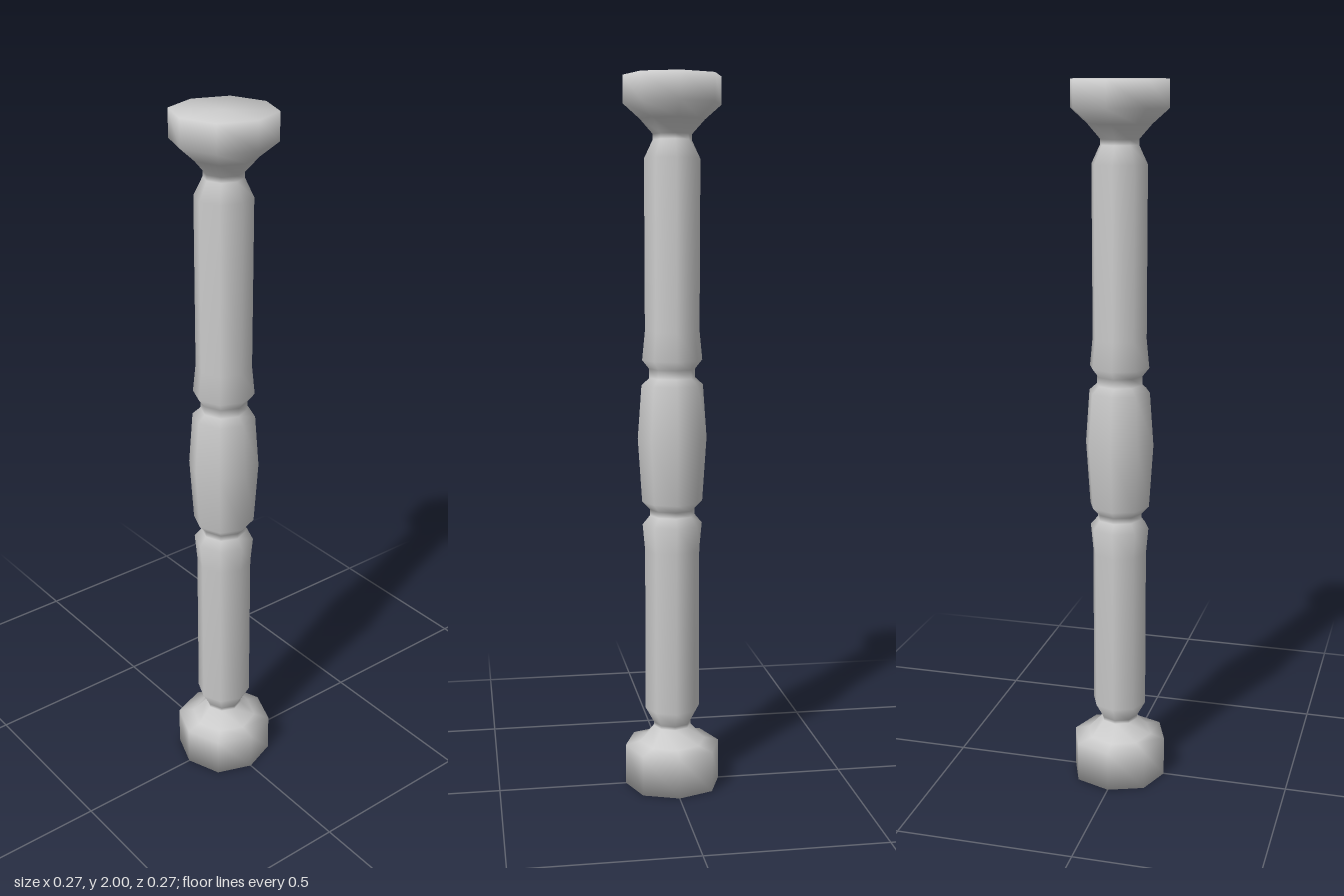
import * as THREE from 'three';

// Turned eight-sided post: [radius, height] from the bottom to the top
const PROFILE = [
  [0, 0], [0.136, 0], [0.136, 0.115],                             // foot
  [0.095, 0.125], [0.053, 0.17], [0.053, 0.18],                   // lower neck
  [0.078, 0.225], [0.078, 0.69], [0.085, 0.765],                  // lower shaft
  [0.064, 0.79], [0.064, 0.807],                                  // lower groove
  [0.086, 0.83], [0.098, 1.01], [0.087, 1.16],                    // middle swelling
  [0.065, 1.18], [0.065, 1.205],                                  // upper groove
  [0.085, 1.23], [0.077, 1.31], [0.078, 1.78],                    // upper shaft
  [0.054, 1.83], [0.054, 1.845],                                  // upper neck
  [0.09, 1.885], [0.136, 1.925], [0.136, 2], [0, 2],              // head
];

export function createModel() {
  const group = new THREE.Group();
  group.name = 'baluster';

  const points = PROFILE.map(([r, y]) => new THREE.Vector2(r, y));
  const geometry = new THREE.LatheGeometry(points, 8);

  // The foot and head are slightly wider across their diagonal corners
  const pos = geometry.attributes.position;
  for (let i = 0; i < pos.count; i++) {
    const x = pos.getX(i), y = pos.getY(i), z = pos.getZ(i);
    const diagonal = Math.abs(x) > 0.09 && Math.abs(z) > 0.09;
    if (diagonal && (y < 0.12 || y > 1.92)) pos.setXYZ(i, x * 1.03, y, z * 1.03);
  }

  const post = new THREE.Mesh(geometry, new THREE.MeshStandardMaterial({ color: 0xcccccc }));
  post.name = 'turnedPost';
  group.add(post);
  return group;
}
